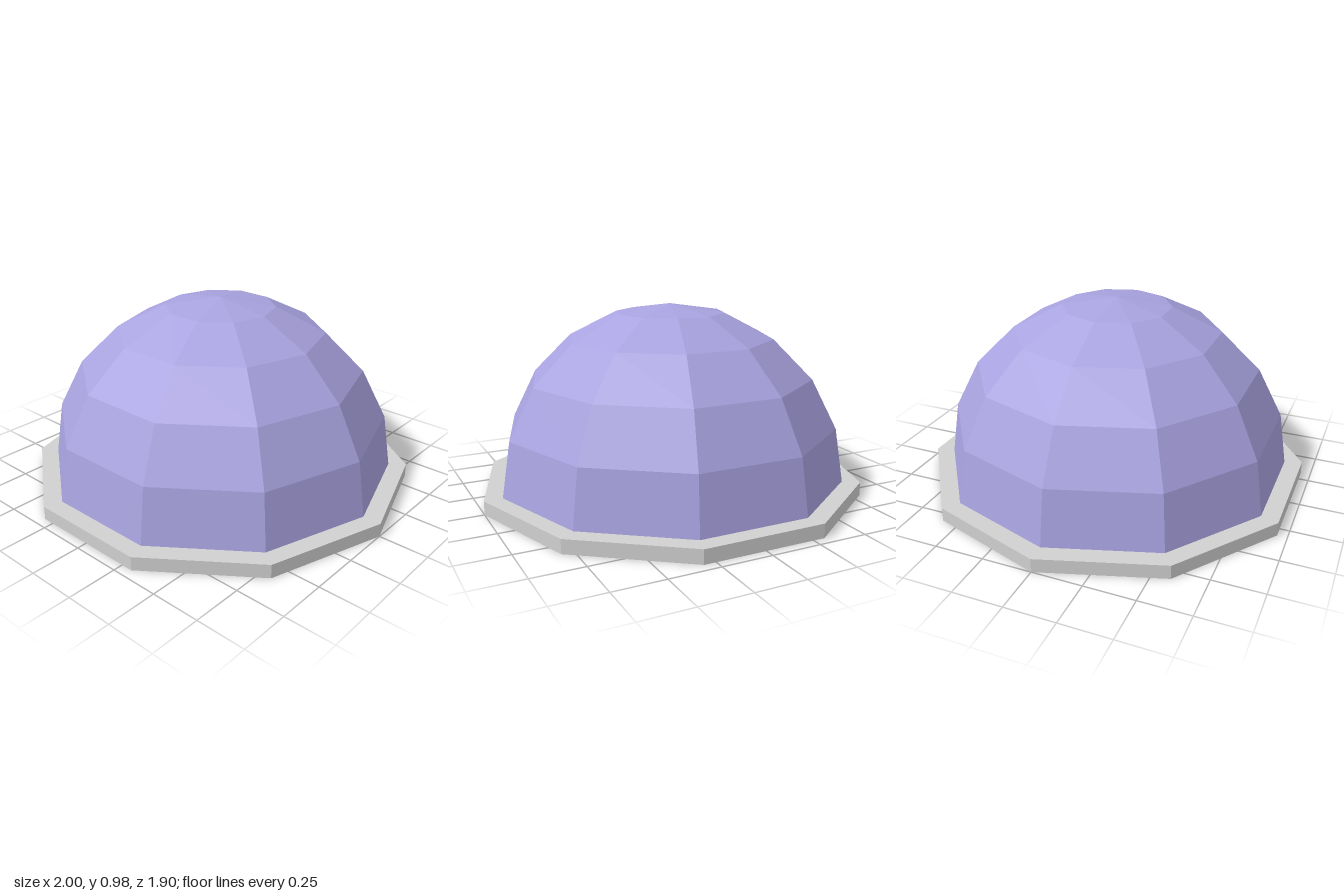
import * as THREE from 'three';

const SIDES = 10;
const BASE_HEIGHT = 0.07;
const DOME_RADIUS = 0.907;

export function createModel() {
  const stone = new THREE.MeshStandardMaterial({ color: 0xd0d0d0, flatShading: true });
  stone.name = 'pale grey';
  const violet = new THREE.MeshStandardMaterial({ color: 0xa9a3e0, flatShading: true });
  violet.name = 'soft violet';

  const model = new THREE.Group();
  model.name = 'dome';

  // Ten-sided base slab, turned so corners lie on the x axis
  const base = new THREE.Mesh(
    new THREE.CylinderGeometry(1, 1, BASE_HEIGHT, SIDES, 1, false, Math.PI / SIDES),
    stone
  );
  base.name = 'baseSlab';
  base.position.y = BASE_HEIGHT / 2;

  // Faceted half sphere resting on the slab
  const shell = new THREE.Mesh(
    new THREE.SphereGeometry(DOME_RADIUS, SIDES, 5, 0, Math.PI * 2, 0, Math.PI / 2),
    violet
  );
  shell.name = 'domeShell';
  shell.position.y = BASE_HEIGHT;

  model.add(base, shell);
  return model;
}
